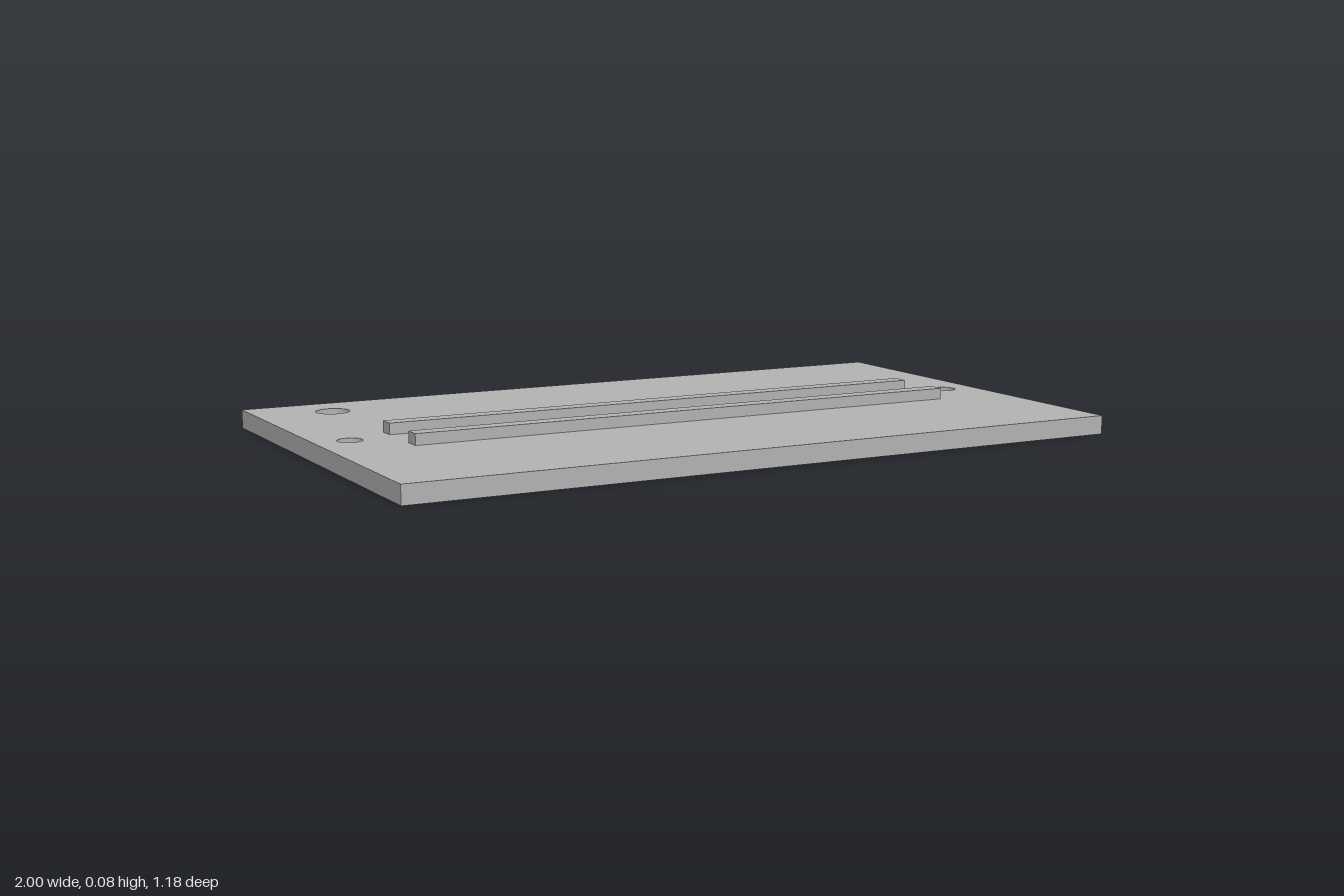
import * as THREE from 'three';

export function createModel() {
  const group = new THREE.Group();
  const grey = new THREE.MeshStandardMaterial({ color: 0xb2b2b2 });
  grey.name = 'plain grey';

  const halfX = 1, halfZ = 0.592, thickness = 0.05;

  // Flat base plate, drawn as a plan (shape y = -z) with round through holes
  const plan = new THREE.Shape();
  plan.moveTo(-halfX, -halfZ);
  plan.lineTo(halfX, -halfZ);
  plan.lineTo(halfX, halfZ);
  plan.lineTo(-halfX, halfZ);
  plan.closePath();

  // Two side mounting holes and one larger corner hole: x, z, radius
  for (const [x, z, r] of [[-0.905, 0, 0.033], [0.905, 0, 0.033], [-0.79, -0.453, 0.046]]) {
    const hole = new THREE.Path();
    hole.absarc(x, -z, r, 0, Math.PI * 2, true);
    plan.holes.push(hole);
  }

  const plateGeometry = new THREE.ExtrudeGeometry(plan, {
    depth: thickness, bevelEnabled: false, curveSegments: 32,
  });
  plateGeometry.rotateX(-Math.PI / 2);
  const plate = new THREE.Mesh(plateGeometry, grey);
  plate.name = 'basePlate';
  group.add(plate);

  // Two parallel raised rails
  const railHeight = 0.03;
  const railGeometry = new THREE.BoxGeometry(1.578, railHeight, 0.046);
  for (const [name, z] of [['frontRail', 0.126], ['backRail', -0.051]]) {
    const rail = new THREE.Mesh(railGeometry, grey);
    rail.name = name;
    rail.position.set(0, thickness + railHeight / 2, z);
    group.add(rail);
  }

  return group;
}
